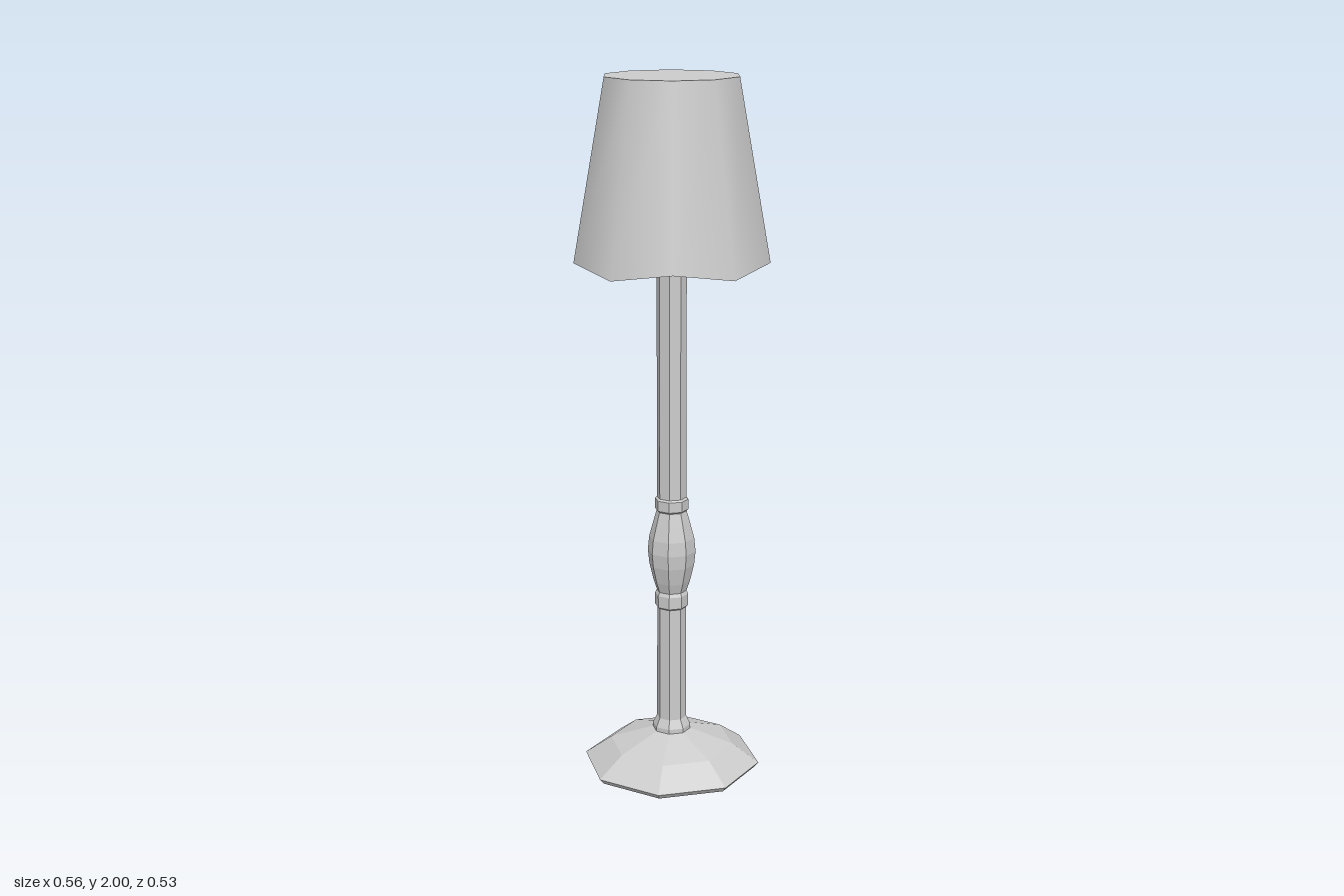
import * as THREE from 'three';

const flat = new THREE.MeshStandardMaterial({ color: 0xcccccc, flatShading: true });
const smooth = new THREE.MeshStandardMaterial({ color: 0xcccccc });
const SHADE_SIDES = 10, STEM_SIDES = 8;
const RIM_Y = 1.495, RIM_R = 0.28, TOP_Y = 2, TOP_R = 0.19;

function add(group, name, geometry, material) {
  const mesh = new THREE.Mesh(geometry, material);
  mesh.name = name;
  group.add(mesh);
}

// Faceted turned part with a corner on the x axis
function turned(profile, sides) {
  const points = profile.map(([r, y]) => new THREE.Vector2(r, y));
  return new THREE.LatheGeometry(points, sides, Math.PI / 2);
}

// Shifts the rim corners alternately down and up
function waveRim(geometry) {
  const p = geometry.attributes.position;
  for (let i = 0; i < p.count; i++) {
    if (Math.abs(p.getY(i) - RIM_Y) > 0.001) continue;
    const corner = Math.round(Math.atan2(p.getZ(i), p.getX(i)) / (Math.PI * 2 / SHADE_SIDES));
    p.setY(i, RIM_Y + (corner % 2 === 0 ? -0.012 : 0.012));
  }
  return geometry;
}

export function createModel() {
  const lamp = new THREE.Group();
  lamp.name = 'tableLamp';

  // Octagonal foot
  add(lamp, 'base', turned([
    [0, 0], [0.245, 0], [0.257, 0.015], [0.18, 0.07], [0.055, 0.112], [0, 0.112],
  ], STEM_SIDES), flat);

  // Stem with foot collar, central bulb between two rings, and flared top
  add(lamp, 'stem', turned([
    [0.055, 0.11], [0.055, 0.125], [0.043, 0.15], [0.042, 0.49],
    [0.048, 0.495], [0.048, 0.53], [0.043, 0.54],
    [0.053, 0.57], [0.065, 0.62], [0.069, 0.66], [0.065, 0.7], [0.053, 0.745], [0.043, 0.78],
    [0.048, 0.785], [0.048, 0.815], [0.042, 0.82],
    [0.042, 1.47], [0.06, 1.5], [0.13, 1.62],
  ], STEM_SIDES), flat);

  // Shade: smooth outer wall, flat top, faceted hollow underneath
  const shade = new THREE.Group();
  shade.name = 'shade';
  const wall = new THREE.CylinderGeometry(TOP_R, RIM_R, TOP_Y - RIM_Y, SHADE_SIDES, 1, true, Math.PI / 2);
  wall.translate(0, (TOP_Y + RIM_Y) / 2, 0);
  add(shade, 'shadeWall', waveRim(wall), smooth);

  const top = new THREE.CircleGeometry(TOP_R, SHADE_SIDES);
  top.rotateX(-Math.PI / 2).translate(0, TOP_Y, 0);
  add(shade, 'shadeTop', top, flat);

  const hollow = turned([[0, 1.62], [0.13, 1.62], [0.235, 1.62], [RIM_R, RIM_Y]], SHADE_SIDES);
  add(shade, 'shadeHollow', waveRim(hollow), flat);
  lamp.add(shade);

  return lamp;
}
